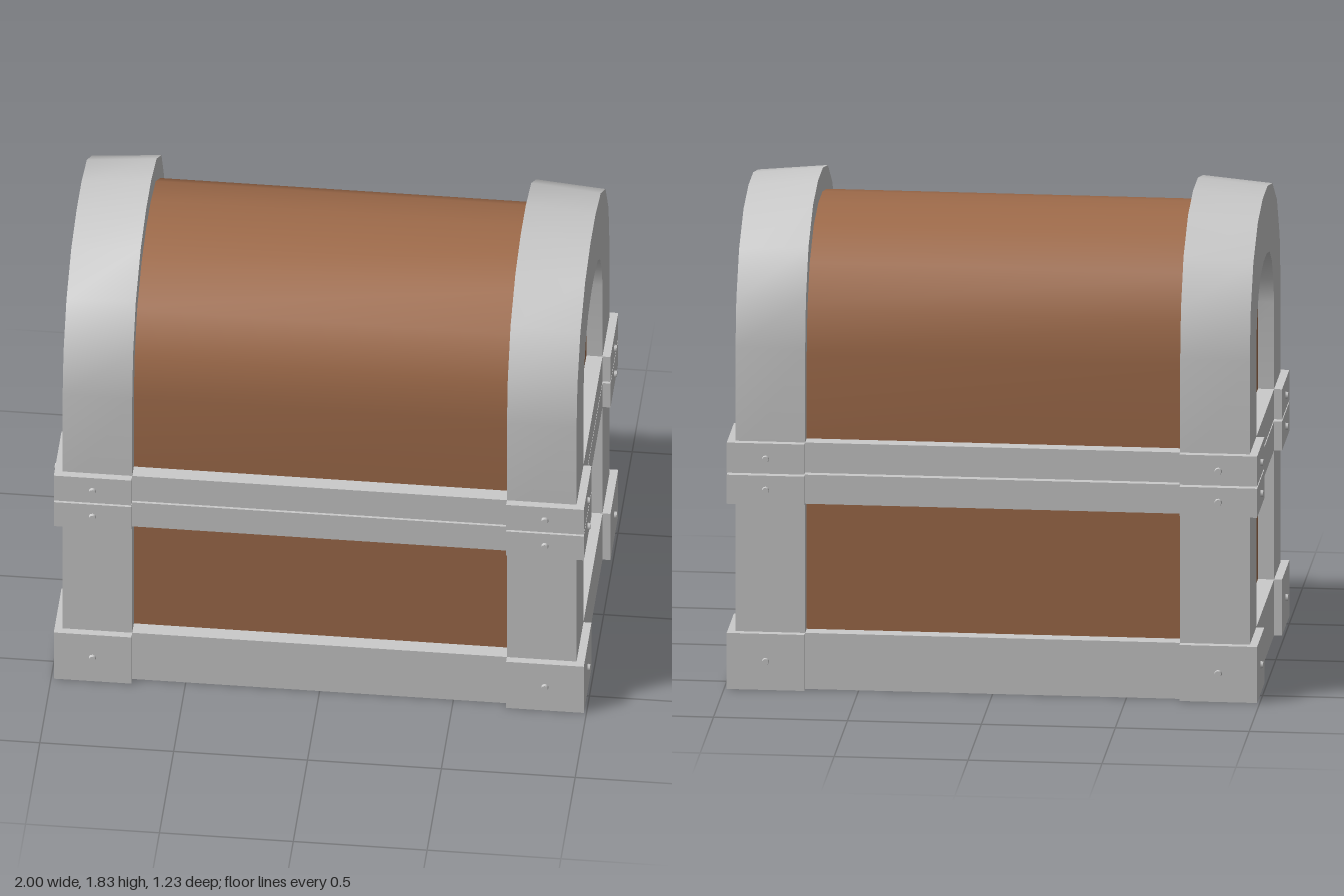
import * as THREE from 'three';
import { toCreasedNormals } from 'three/addons/utils/BufferGeometryUtils.js';

const metal = new THREE.MeshStandardMaterial({ color: 0xcbcbcb });
metal.name = 'grey metal';
const wood = new THREE.MeshStandardMaterial({ color: 0xa06c4b });
wood.name = 'brown wood';

// Half profiles as [z, y], from the springing line to the crown
const OUTER = [[0.576, 1.31], [0.547, 1.495], [0.45, 1.67], [0.278, 1.784], [0.09, 1.826]];
const INNER = [[0.334, 1.285], [0.31, 1.38], [0.25, 1.47], [0.167, 1.527], [0.055, 1.55]];
const VAULT = [[0.518, 1.27], [0.492, 1.44], [0.405, 1.597], [0.25, 1.7], [0.08, 1.738]];

const LID_Y = 0.834, BASE_TOP = 0.826;
const END_X = 0.96, SIDE_Z = 0.576;      // frame faces
const PLATE_X = 0.99, PLATE_Z = 0.605;   // corner plate faces
const IN_X = 0.7, IN_Z = 0.334;          // inner edges of posts and plates

function add(group, name, geometry, material) {
  const mesh = new THREE.Mesh(geometry, material);
  mesh.name = name;
  group.add(mesh);
  return mesh;
}

// Box between two corners
function box(x0, x1, y0, y1, z0, z1) {
  return new THREE.BoxGeometry(Math.abs(x1 - x0), y1 - y0, Math.abs(z1 - z0))
    .translate((x0 + x1) / 2, (y0 + y1) / 2, (z0 + z1) / 2);
}

// Full arch outline from a half profile, with straight legs down to y
function outline(half, y) {
  const right = [[half[0][0], y], ...half];
  const left = right.map(([z, h]) => [-z, h]).reverse();
  return [...right, ...left].map(([z, h]) => new THREE.Vector2(z, h));
}

// Metal arch at one end of the lid, its crown sloping down outwards
function archGeometry(side) {
  const depth = END_X - IN_X;
  const points = [...outline(OUTER, LID_Y), ...outline(INNER, LID_Y).reverse()];
  const geo = new THREE.ExtrudeGeometry(new THREE.Shape(points), { depth, bevelEnabled: false });
  const p = geo.attributes.position;
  for (let i = 0; i < p.count; i++) {
    const x = p.getX(i), y = p.getY(i);
    const onCrown = y > 1.4 && Math.hypot(x, y - 1.28) > 0.42;
    if (onCrown && p.getZ(i) > depth / 2) {
      p.setY(i, 1.31 + (y - 1.31) * 0.952);
      p.setX(i, x * (y > 1.6 ? 0.98 : 0.997));
    }
  }
  geo.rotateY(side * Math.PI / 2).translate(side * IN_X, 0, 0);
  return toCreasedNormals(geo, 0.7);
}

// Horizontal band with four raised corner plates and their bolts
function band(name, y0, y1, boltY) {
  const group = new THREE.Group();
  group.name = name;
  add(group, name + 'Rail', box(-END_X, END_X, y0, y1, -SIDE_Z, SIDE_Z), metal);
  for (const sx of [-1, 1]) for (const sz of [-1, 1]) {
    add(group, 'cornerPlate',
      box(sx * IN_X, sx * PLATE_X, y0, y1, sz * IN_Z, sz * PLATE_Z), metal);
    const sideBolt = new THREE.CylinderGeometry(0.012, 0.016, 0.022, 10).rotateX(sz * Math.PI / 2);
    add(group, 'bolt', sideBolt, metal).position.set(sx * 0.845, boltY, sz * PLATE_Z);
    const endBolt = new THREE.CylinderGeometry(0.012, 0.016, 0.022, 10).rotateZ(-sx * Math.PI / 2);
    add(group, 'bolt', endBolt, metal).position.set(sx * (PLATE_X - 0.001), boltY, sz * 0.468);
  }
  return group;
}

export function createModel() {
  const model = new THREE.Group();
  model.name = 'chest';

  // Base
  const base = new THREE.Group();
  base.name = 'base';
  add(base, 'basePanels', box(-0.9, 0.9, 0.1, 0.8, -0.518, 0.518), wood);
  for (const sx of [-1, 1]) for (const sz of [-1, 1]) {
    add(base, 'cornerPost',
      box(sx * IN_X, sx * END_X, 0.1, 0.8, sz * IN_Z, sz * SIDE_Z), metal);
  }
  base.add(band('bottomBand', 0, 0.216, 0.11));
  base.add(band('baseRim', 0.714, BASE_TOP, 0.77));

  // Lid
  const lid = new THREE.Group();
  lid.name = 'lid';
  const vault = new THREE.ExtrudeGeometry(new THREE.Shape(outline(VAULT, 0.86)),
    { depth: 1.8, bevelEnabled: false });
  vault.translate(0, 0, -0.9).rotateY(Math.PI / 2);
  add(lid, 'lidVault', toCreasedNormals(vault, 0.7), wood);
  for (const side of [-1, 1]) add(lid, 'lidArch', archGeometry(side), metal);
  lid.add(band('lidRim', LID_Y, 0.95, 0.89));

  model.add(base, lid);
  return model;
}
